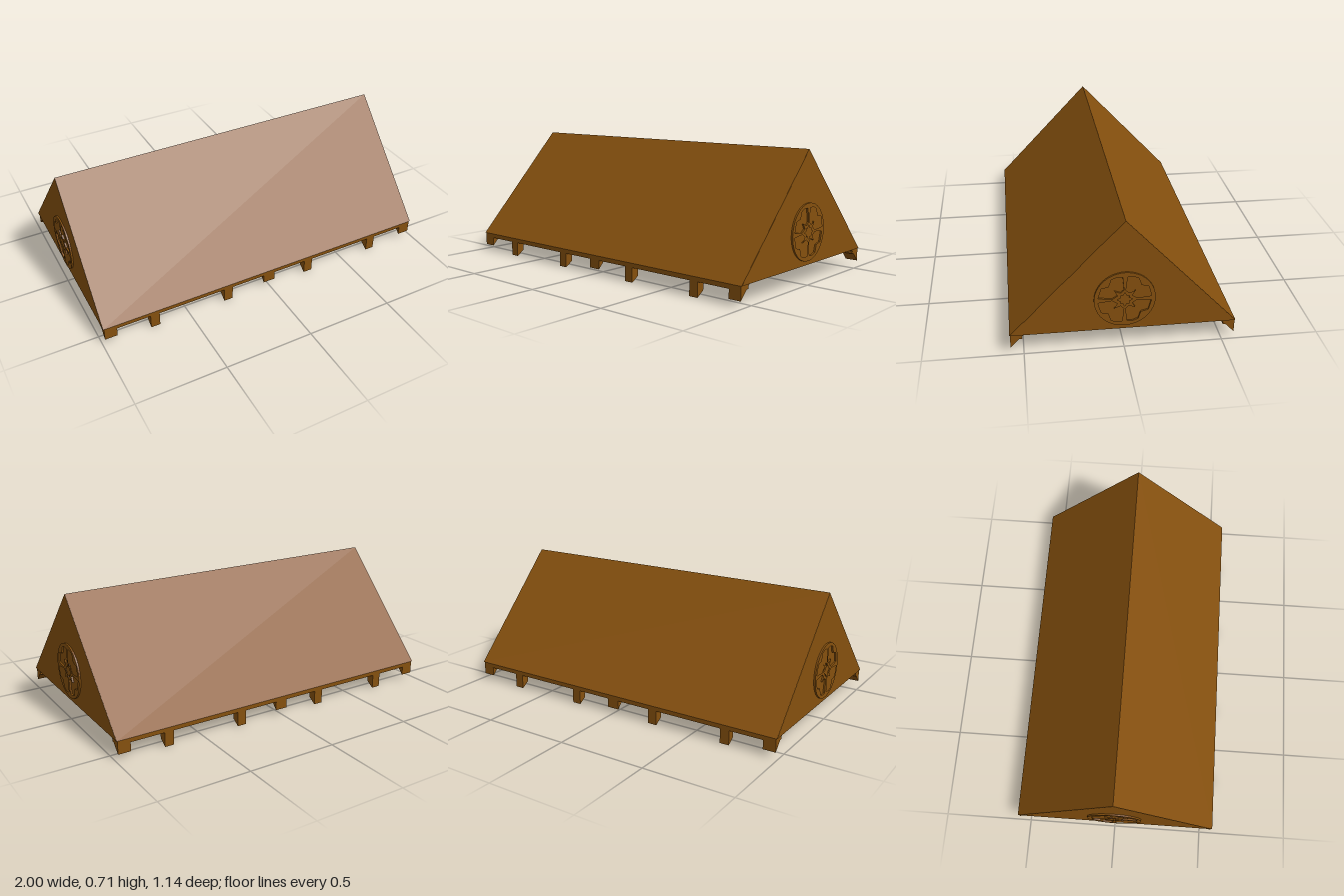
import * as THREE from 'three';

const wood = new THREE.MeshStandardMaterial({ color: 0x85500e, flatShading: true });

// Extrude a cross-section drawn in (z, y) along x, centred on the given x
function alongX(name, points, width, x, holes = []) {
  const shape = new THREE.Shape(points.map(([z, y]) => new THREE.Vector2(-z, y)));
  for (const hole of holes) {
    shape.holes.push(new THREE.Path(hole.map(([z, y]) => new THREE.Vector2(-z, y))));
  }
  const geometry = new THREE.ExtrudeGeometry(shape, { depth: width, bevelEnabled: false });
  geometry.translate(0, 0, -width / 2).rotateY(Math.PI / 2);
  const mesh = new THREE.Mesh(geometry, wood);
  mesh.name = name;
  mesh.position.x = x;
  return mesh;
}

// Underside of the slopes: straight sides joined by a rounded crown, from +z to -z
const PITCH = 1.06;
function vault(footZ, footY) {
  const bend = 0.19;
  const bendY = footY + (footZ - bend) * PITCH;
  const points = [[footZ, footY]];
  for (let i = 0; i <= 12; i++) {
    const z = bend * (1 - i / 6);
    points.push([z, bendY + (PITCH / 2) * (bend - (z * z) / bend)]);
  }
  points.push([-footZ, footY]);
  return points;
}

// Pierced wheel: four lobed openings around an eight-pointed star
function rosette(name, x) {
  const unit = 0.152 / 49.5;
  const cy = 0.28;
  const place = ([a, b]) => [a * unit, cy + b * unit];
  const rim = [];
  for (let i = 0; i < 48; i++) {
    const t = (i / 48) * Math.PI * 2;
    rim.push(place([49.5 * Math.cos(t), 49.5 * Math.sin(t)]));
  }
  const lobe = [[4, 41], [13, 41.5], [22, 38], [26, 25], [38, 22], [43, 4],
    [20, 1.5], [12, 7], [17, 16], [7, 12], [1.5, 17]];
  const holes = [];
  for (const sz of [-1, 1]) {
    for (const sy of [-1, 1]) holes.push(lobe.map(([a, b]) => place([a * sz, b * sy])));
  }
  const star = [];
  for (let i = 0; i < 16; i++) {
    const t = (i / 16) * Math.PI * 2;
    const r = i % 2 ? 7.5 : i % 4 ? 10 : 13;
    star.push(place([r * Math.cos(t), r * Math.sin(t)]));
  }
  holes.push(star);
  return alongX(name, rim, 0.03, x, holes);
}

export function createModel() {
  const model = new THREE.Group();
  model.name = 'gableRoof';

  // Roof slopes with the vaulted underside
  model.add(alongX('roofSlopes',
    [[-0.568, 0.105], [0, 0.707], [0.568, 0.105], ...vault(0.545, 0.105)], 1.98, 0));

  // Gable walls and their wheels
  for (const side of [-1, 1]) {
    const prefix = side > 0 ? 'left' : 'right';
    model.add(alongX(prefix + 'Gable',
      [[-0.566, 0.105], [0, 0.706], [0.566, 0.105]], 0.01, side * 0.986));
    model.add(rosette(prefix + 'Rosette', side * 0.985));
  }

  // Arched rafters at both ends and the middle
  for (const x of [-0.95, 0, 0.95]) {
    model.add(alongX('archedRafter',
      [[-0.565, 0.1], [0, 0.695], [0.565, 0.1], ...vault(0.565, 0.031)], 0.07, x));
  }

  for (const s of [-1, 1]) {
    const mirror = (points) => points.map(([z, y]) => [z * s, y]);

    // Wall plate along the eave
    model.add(alongX('wallPlate',
      mirror([[0.565, 0.08], [0.565, 0.105], [0.505, 0.165], [0.505, 0.08]]), 1.97, 0));

    // Brackets with a drop foot and a tapered arm
    for (const x of [-0.7, -0.26, 0.26, 0.7]) {
      model.add(alongX('eaveBracket', mirror([[0.565, 0], [0.565, 0.105], [0.505, 0.167],
        [0.27, 0.167], [0.41, 0.08], [0.52, 0.08], [0.52, 0.03]]), 0.052, x));
    }
  }
  return model;
}
